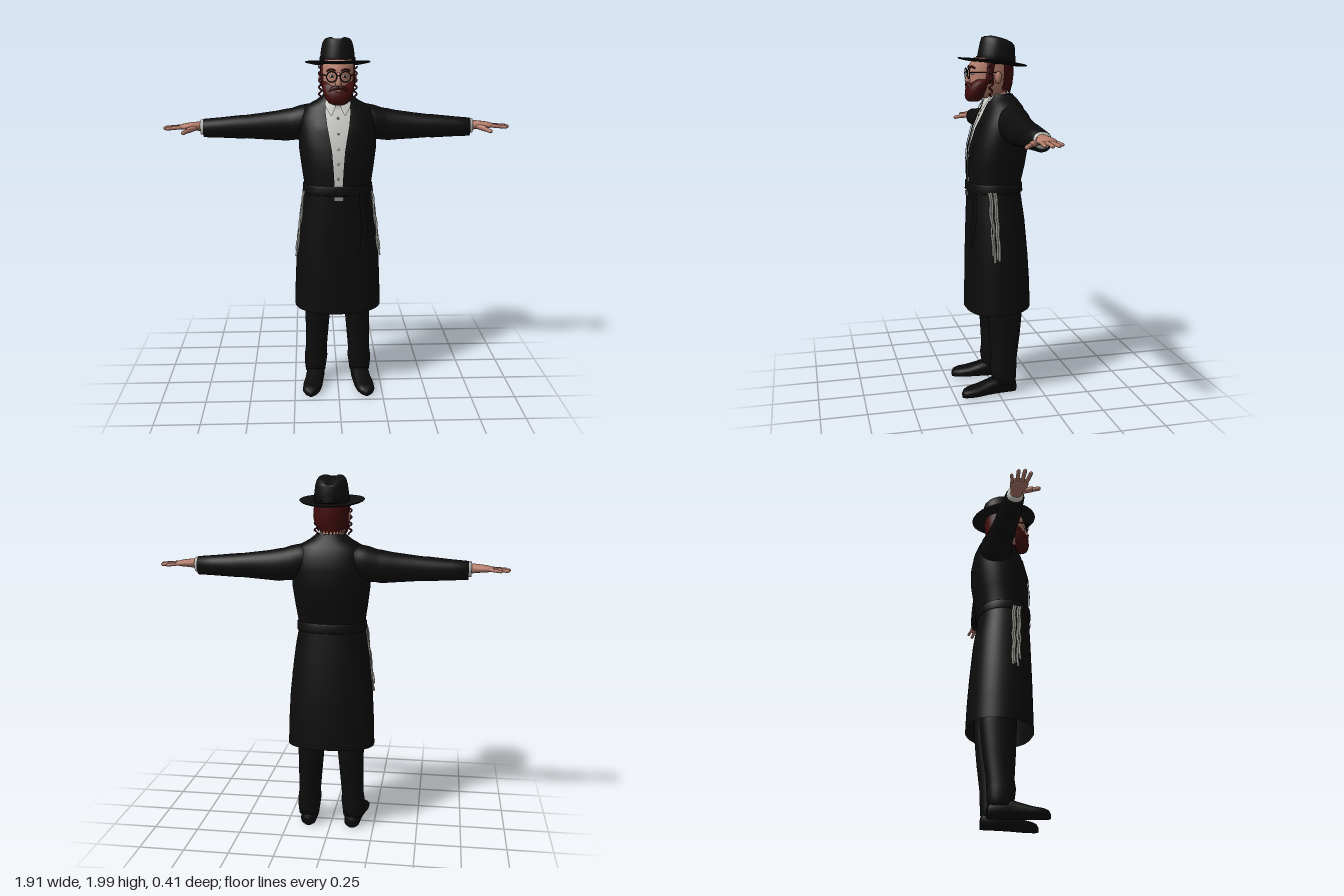
import * as THREE from 'three';
import { mergeVertices } from 'three/addons/utils/BufferGeometryUtils.js';

const V = (x, y, z) => new THREE.Vector3(x, y, z);
const mat = (name, color, side = THREE.DoubleSide) => {
  const m = new THREE.MeshStandardMaterial({ color, side });
  m.name = name;
  return m;
};

// One rounded cross-section: height, centre x, half width, front z, back z
function ring([y, cx, rx, zf, zb], n = 32, e = 2.2, from = 0, to = Math.PI * 2, closed = true) {
  const pts = [], pw = (v) => Math.sign(v) * Math.abs(v) ** (2 / e);
  for (let j = 0; j < (closed ? n : n + 1); j++) {
    const a = from + ((to - from) * j) / n;
    pts.push(V(cx + rx * pw(Math.sin(a)), y, (zf + zb) / 2 + ((zf - zb) / 2) * pw(Math.cos(a))));
  }
  return pts;
}

// Skin over rows of points
function skin(rows, closed = true, caps = true) {
  const n = rows[0].length, pts = rows.flat(), idx = [];
  for (let i = 0; i < rows.length - 1; i++)
    for (let j = 0; j < (closed ? n : n - 1); j++) {
      const k = (j + 1) % n, a = i * n + j, b = i * n + k;
      idx.push(a, b, b + n, a, b + n, a + n);
    }
  if (closed && caps)
    for (const [r, flip] of [[0, true], [rows.length - 1, false]]) {
      const c = pts.length;
      pts.push(rows[r].reduce((s, p) => s.add(p), V(0, 0, 0)).divideScalar(n));
      for (let j = 0; j < n; j++) {
        const a = r * n + j, b = r * n + ((j + 1) % n);
        idx.push(...(flip ? [c, b, a] : [c, a, b]));
      }
    }
  const g = new THREE.BufferGeometry().setFromPoints(pts);
  g.setIndex(idx);
  g.computeVertexNormals();
  return g;
}
const loft = (secs, n = 32, e = 2.2) => skin(secs.map((s) => ring(s, n, e)));

function capsule(p, q, r) {
  const d = q.clone().sub(p), g = new THREE.CapsuleGeometry(r, d.length(), 4, 10);
  g.applyQuaternion(new THREE.Quaternion().setFromUnitVectors(V(0, 1, 0), d.normalize()));
  return g.translate((p.x + q.x) / 2, (p.y + q.y) / 2, (p.z + q.z) / 2);
}
const tube = (pts, r, n = 40) => new THREE.TubeGeometry(new THREE.CatmullRomCurve3(pts), n, r, 6);
const ball = (x, y, z, rx, ry, rz) => new THREE.SphereGeometry(1, 16, 10).scale(rx, ry, rz).translate(x, y, z);

// Coat: height, half width, front z, back z, half width of the front opening
const COAT = [
  [0.49, 0.245, 0.155, -0.205, 0], [0.65, 0.24, 0.152, -0.2, 0], [0.8, 0.232, 0.15, -0.19, 0],
  [1.0, 0.21, 0.145, -0.172, 0], [1.15, 0.187, 0.14, -0.15, 0], [1.2, 0.185, 0.14, -0.15, 0.024],
  [1.3, 0.2, 0.14, -0.172, 0.028], [1.4, 0.213, 0.132, -0.188, 0.036], [1.5, 0.215, 0.105, -0.19, 0.055],
  [1.57, 0.208, 0.075, -0.178, 0.066], [1.62, 0.18, 0.05, -0.158, 0.07], [1.655, 0.115, 0.035, -0.135, 0.064],
  [1.685, 0.078, 0.02, -0.108, 0.06]];
const E = 2.3;
const gapAngle = (w, rx) => Math.asin((w / rx) ** (E / 2));

// Front surface depth of the coat at a given height and x
function coatZ(y, x) {
  let i = 0;
  while (i < COAT.length - 2 && COAT[i + 1][0] < y) i++;
  const t = (y - COAT[i][0]) / (COAT[i + 1][0] - COAT[i][0]);
  const [rx, zf, zb] = [1, 2, 3].map((k) => THREE.MathUtils.lerp(COAT[i][k], COAT[i + 1][k], t));
  const s = Math.max(0, 1 - Math.min(1, Math.abs(x) / rx) ** E) ** (1 / E);
  return (zf + zb) / 2 + ((zf - zb) / 2) * s;
}
// Thin cloth strip lying on the coat front: rows of height, inner x, outer x
const plate = (rows, off) => skin(rows.map(([y, a, b]) =>
  Array.from({ length: 7 }, (_, j) => {
    const x = a + ((b - a) * j) / 6;
    return V(x, y, coatZ(y, x) + off);
  })), false);

export function createModel() {
  const model = new THREE.Group();
  const cloth = mat('black cloth', 0x0c0c0c), felt = mat('hat felt', 0x0f0f10), leather = mat('shoe leather', 0x090909);
  const flesh = mat('skin', 0xb57d6b), hair = mat('dark red hair', 0x430c0d), linen = mat('shirt white', 0xc9c9c4);
  const cord = mat('tassel cord', 0xa9a8a0), metal = mat('metal', 0x8c8c8c), lip = mat('lips', 0xa3605a);
  const add = (name, geo, m) => {
    const mesh = new THREE.Mesh(geo, m);
    mesh.name = name;
    model.add(mesh);
  };
  // Left part plus its mirror image
  const both = (name, geo, m) => {
    add('left' + name, geo, m);
    const g = geo.index ? geo.clone() : mergeVertices(geo);
    g.scale(-1, 1, 1);
    g.index.array.reverse();
    add('right' + name, g, m);
  };

  // Coat body, open at the chest, with the shirt behind the opening
  add('coat', skin(COAT.map(([y, rx, zf, zb, w], i) => {
    const a = gapAngle(w, rx);
    const row = ring([y, 0, rx, zf, zb], 64, E, a, Math.PI * 2 - a, false);
    if (i === 0) row.forEach((p) => (p.y -= p.z * 0.075));
    return row;
  }), false), cloth);
  add('shirt', skin(COAT.slice(4).map(([y, rx, zf, zb, w]) => {
    const a = gapAngle(w + 0.008, rx);
    return ring([y, 0, rx, zf - 0.004, zb], 12, E, -a, a, false);
  }), false), linen);
  add('shirtPlacket', plate([[1.2, -0.009, 0.009], [1.3, -0.009, 0.009], [1.4, -0.009, 0.009], [1.5, -0.009, 0.009], [1.61, -0.009, 0.009]], 0.001), linen);
  for (let y = 1.25; y < 1.6; y += 0.08) add('shirtButton', ball(0, y, coatZ(y, 0) + 0.002, 0.006, 0.006, 0.003), metal);
  add('shirtNeckband', skin([[1.6, 0, 0.066, 0.048, -0.09], [1.65, 0, 0.062, 0.045, -0.088], [1.685, 0, 0.06, 0.035, -0.085]].map((s) => ring(s)), true, false), linen);
  both('ShirtCollar', plate([[1.585, 0.034, 0.04], [1.62, 0.016, 0.062], [1.65, 0.006, 0.068], [1.675, 0.01, 0.062]], 0.014), linen);
  both('Lapel', plate([[1.215, 0.022, 0.03], [1.3, 0.027, 0.065], [1.4, 0.035, 0.1], [1.5, 0.053, 0.13], [1.525, 0.058, 0.1],
    [1.53, 0.059, 0.125], [1.6, 0.067, 0.12], [1.65, 0.064, 0.09]], 0.007), cloth);
  add('coatFrontFlap', plate([[0.483, -0.04, 0.035], [0.8, -0.035, 0.03], [1.15, -0.02, 0.025]], 0.004), cloth);

  // Belt with clasp and hanging ends
  add('belt', skin([[1.155, 0.187], [1.16, 0.194], [1.2, 0.193], [1.207, 0.186]].map(([y, r]) =>
    ring([y, 0, r, r - 0.045, 0.033 - r], 48, E)), true, false), cloth);
  add('clasp', new THREE.BoxGeometry(0.05, 0.022, 0.009).translate(0, 1.142, 0.147), metal);
  for (const [x, y] of [[0.1, 0.85], [0.135, 0.92]])
    add('beltEnd', plate([[y, x, x + 0.025], [1.0, x, x + 0.025], [1.16, x - 0.01, x + 0.015]], 0.008), cloth);

  // Side tassels
  for (const [z, end] of [[0.062, 0.83], [0.05, 0.79], [0.034, 0.81], [0.024, 0.8]])
    both('Tassel', tube(Array.from({ length: 9 }, (_, i) => {
      const t = i / 8;
      return V(0.187 + 0.045 * t + 0.004 * Math.sin(i * 2 + z * 90), 1.17 + (end - 1.17) * t, z - 0.012 * t + 0.003 * Math.cos(i * 2.4));
    }), 0.006), cord);

  // Sleeves with light folds, cuffs and hands
  const alongX = (secs, n, e) => loft(secs.map(([x, y, ry, zf, zb]) => [x, -y, ry, zf, zb]), n, e).rotateZ(-Math.PI / 2);
  both('Sleeve', alongX([[0.1, 1.55, 0.085, 0, -0.15], [0.16, 1.54, 0.092, 0.012, -0.16], [0.21, 1.528, 0.094, 0.015, -0.16],
    [0.25, 1.52, 0.088, 0.003, -0.148], [0.28, 1.516, 0.088, 0.005, -0.15], [0.33, 1.513, 0.081, -0.002, -0.14], [0.42, 1.51, 0.072, 0, -0.132],
    [0.5, 1.508, 0.064, -0.002, -0.125], [0.53, 1.507, 0.064, 0, -0.125], [0.65, 1.504, 0.055, -0.005, -0.115], [0.735, 1.502, 0.05, -0.01, -0.106]]), cloth);
  both('Cuff', alongX([[0.72, 1.508, 0.04, -0.016, -0.1], [0.75, 1.508, 0.04, -0.016, -0.1]]), linen);
  both('Palm', alongX([[0.73, 1.512, 0.027, -0.028, -0.085], [0.765, 1.513, 0.025, -0.022, -0.085], [0.8, 1.513, 0.021, -0.008, -0.096],
    [0.835, 1.512, 0.017, -0.006, -0.1], [0.862, 1.511, 0.011, -0.012, -0.092]], 20), flesh);
  for (const [x0, z0, x1, z1, r] of [[0.835, -0.088, 0.9, -0.103, 0.0085], [0.85, -0.066, 0.938, -0.075, 0.0095],
    [0.85, -0.042, 0.945, -0.044, 0.01], [0.845, -0.02, 0.93, -0.012, 0.0095]])
    both('Finger', capsule(V(x0, 1.511, z0), V(x1, 1.505, z1), r), flesh);
  both('ThumbBase', capsule(V(0.775, 1.508, -0.035), V(0.81, 1.5, 0.012), 0.015), flesh);
  both('Thumb', capsule(V(0.805, 1.5, 0.01), V(0.835, 1.49, 0.043), 0.011), flesh);

  // Trousers and shoes
  both('TrouserLeg', loft([[0.06, 0.13, 0.058, 0.02, -0.102], [0.1, 0.13, 0.063, 0.035, -0.107], [0.15, 0.127, 0.067, 0.042, -0.108],
    [0.2, 0.125, 0.062, 0.035, -0.11], [0.35, 0.118, 0.068, 0.045, -0.13], [0.5, 0.112, 0.076, 0.052, -0.145],
    [0.75, 0.1, 0.088, 0.07, -0.15], [1.0, 0.09, 0.09, 0.08, -0.14]], 28), cloth);
  both('Shoe', loft([[-0.105, 0.127, 0.026, 0.06], [-0.092, 0.127, 0.044, 0.08], [0, 0.13, 0.052, 0.1], [0.06, 0.138, 0.052, 0.08],
    [0.12, 0.148, 0.055, 0.061], [0.17, 0.155, 0.05, 0.053], [0.197, 0.158, 0.036, 0.044], [0.21, 0.159, 0.014, 0.03]]
    .map(([z, x, r, top]) => [z, x, r, 0, -top]), 24, 2.6).rotateX(Math.PI / 2), leather);

  // Head and face
  add('neck', loft([[1.56, 0, 0.058, 0.03, -0.08], [1.64, 0, 0.054, 0.035, -0.075], [1.73, 0, 0.056, 0.04, -0.08]]), flesh);
  add('head', loft([[1.665, 0, 0.045, 0.11, 0], [1.69, 0, 0.066, 0.125, -0.07], [1.73, 0, 0.077, 0.13, -0.095], [1.77, 0, 0.083, 0.128, -0.104],
    [1.8, 0, 0.085, 0.126, -0.107], [1.84, 0, 0.086, 0.127, -0.107], [1.88, 0, 0.08, 0.1, -0.1]]), flesh);
  add('nose', loft([[1.742, 0, 0.01, 0.135, 0.11], [1.749, 0, 0.018, 0.15, 0.11], [1.76, 0, 0.016, 0.154, 0.11], [1.785, 0, 0.01, 0.142, 0.11], [1.815, 0, 0.009, 0.13, 0.11]], 16), flesh);
  both('Ear', ball(0.09, 1.775, -0.012, 0.012, 0.032, 0.02), flesh);
  both('Eye', ball(0.034, 1.797, 0.117, 0.014, 0.008, 0.009), linen);
  both('Pupil', ball(0.034, 1.797, 0.124, 0.006, 0.006, 0.004), leather);
  both('Eyebrow', tube([V(0.014, 1.824, 0.128), V(0.036, 1.833, 0.125), V(0.06, 1.823, 0.11)], 0.005, 12), hair);

  // Beard, moustache, hair and side curls
  add('beard', loft([[1.645, 0, 0.028, 0.132, 0.08], [1.655, 0, 0.05, 0.145, 0.062], [1.675, 0, 0.068, 0.151, 0.045], [1.7, 0, 0.079, 0.15, 0.03],
    [1.725, 0, 0.084, 0.143, 0.016], [1.745, 0, 0.087, 0.126, 0.01], [1.765, 0, 0.087, 0.108, 0.01]]), hair);
  both('Moustache', tube([V(0, 1.738, 0.14), V(0.02, 1.738, 0.139), V(0.045, 1.722, 0.128), V(0.058, 1.705, 0.115)], 0.01, 16), hair);
  add('mouth', ball(0, 1.721, 0.143, 0.02, 0.006, 0.008), lip);
  both('Sideburn', loft([[1.74, 0.08, 0.011, 0.06, 0.01], [1.8, 0.083, 0.01, 0.05, 0.015], [1.86, 0.083, 0.009, 0.045, 0.0]], 12), hair);
  both('SideCurl', tube(Array.from({ length: 33 }, (_, i) =>
    V(0.094 + 0.008 * Math.cos(i * 0.9), 1.84 - i * 0.0052, 0.03 + 0.008 * Math.sin(i * 0.9))), 0.005, 100), hair);
  const hairRows = [[1.69, 0.078, -0.095], [1.74, 0.092, -0.109], [1.8, 0.097, -0.116], [1.87, 0.094, -0.114]];
  add('hair', skin(hairRows.map(([y, rx, zb], i) => {
    const row = ring([y, 0, rx, 0.08, zb], 36, 2.2, Math.PI * 0.57, Math.PI * 1.43, false);
    if (i === 0) row.forEach((p, j) => (p.y += 0.013 * Math.sin(j * 2.1) + (Math.abs(j - 18) / 18) * 0.02));
    return row;
  }), false), hair);

  // Round spectacles
  both('LensRim', new THREE.TorusGeometry(0.027, 0.003, 8, 28).translate(0.036, 1.795, 0.139), leather);
  both('SpectacleArm', capsule(V(0.064, 1.8, 0.137), V(0.092, 1.8, 0), 0.0028), leather);
  add('spectacleBridge', tube([V(-0.01, 1.798, 0.14), V(0, 1.803, 0.145), V(0.01, 1.798, 0.14)], 0.003, 8), leather);

  // Hat: tilted brim, band and creased crown
  const brim = [[0.085, 1.85], [0.13, 1.85], [0.172, 1.856], [0.176, 1.86], [0.172, 1.863], [0.13, 1.857], [0.085, 1.86]];
  add('hatBrim', skin(brim.map(([r, y]) => {
    const row = ring([y, 0, r, r * 1.08, -r * 1.08], 48, 2);
    row.forEach((p) => (p.y += p.z * 0.115 - 0.004 + 0.25 * p.x * p.x));
    return row;
  }), true, false), felt);
  add('hatBand', skin([[1.85, 0.097], [1.885, 0.0965]].map(([y, r]) => ring([y, 0, r, r - 0.008, -r - 0.03], 40, 2)), true, false), leather);
  const crown = [[1.845, 0.096, 0.087, -0.126], [1.9, 0.092, 0.079, -0.125], [1.95, 0.086, 0.068, -0.123], [1.982, 0.079, 0.058, -0.12],
    [1.996, 0.07, 0.045, -0.112], [2.002, 0.055, 0.028, -0.095], [2.002, 0.035, 0.005, -0.07], [2.002, 0.015, -0.015, -0.05], [2.002, 0.004, -0.03, -0.04]];
  add('hatCrown', skin(crown.map(([y, rx, zf, zb], i) => {
    const row = ring([y, 0, rx, zf, zb], 48, 2.1), top = THREE.MathUtils.smoothstep(y, 1.9, 2.0);
    row.forEach((p) => {
      p.y -= top * ((0.04 - p.z) * 0.26 + (i > 3 ? 0.022 * Math.exp(-((p.x / 0.025) ** 2)) : 0));
      if (p.z > 0) p.x *= 1 - 2.5 * top * p.z;
    });
    return row;
  })), felt);
  return model;
}
